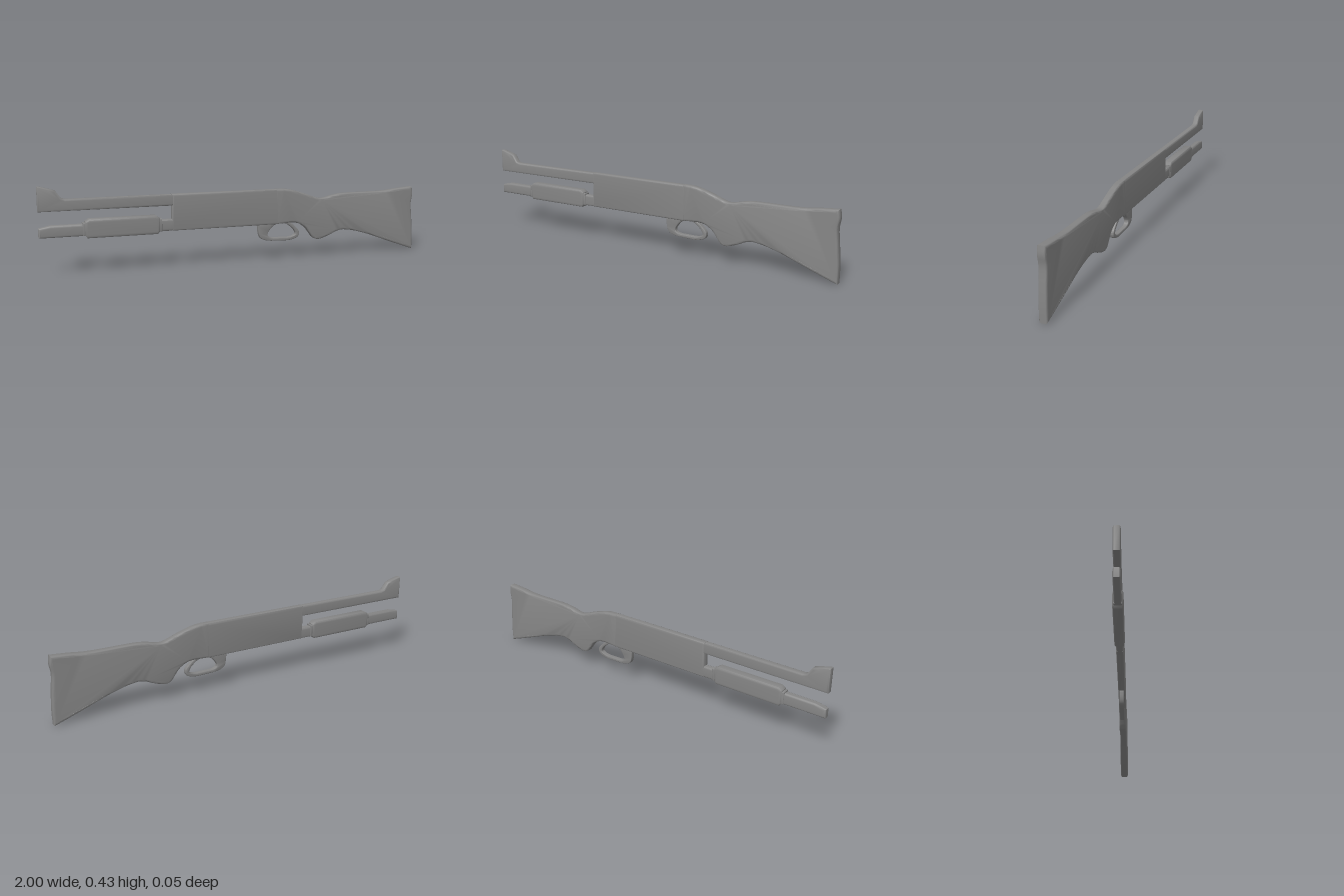
import * as THREE from 'three';
import { toCreasedNormals } from 'three/addons/utils/BufferGeometryUtils.js';

const material = new THREE.MeshStandardMaterial({ color: 0x858585 });
const vectors = (points) => points.map(([x, y]) => new THREE.Vector2(x, y));

// Side outline extruded symmetrically about z = 0, its edges rounded inward;
// widthAt(x) optionally varies the thickness along the length
function slab(name, shape, halfWidth, bevel, depthBevel, widthAt = () => 1) {
  const geometry = new THREE.ExtrudeGeometry(shape, {
    depth: 2 * (halfWidth - depthBevel),
    bevelEnabled: true,
    bevelSize: bevel,
    bevelOffset: -bevel,
    bevelThickness: depthBevel,
    bevelSegments: 3,
    curveSegments: 3,
  });
  geometry.translate(0, 0, depthBevel - halfWidth);
  const position = geometry.attributes.position;
  for (let i = 0; i < position.count; i++) {
    position.setZ(i, position.getZ(i) * widthAt(position.getX(i)));
  }
  const mesh = new THREE.Mesh(toCreasedNormals(geometry, 0.8), material);
  mesh.name = name;
  return mesh;
}

const polygon = (points) => new THREE.Shape(vectors(points));

// Closed smooth outline through a few points
function loop(points, PathType) {
  const curve = new THREE.CatmullRomCurve3(
    points.map(([x, y]) => new THREE.Vector3(x, y, 0)), true);
  return new PathType(curve.getPoints(48).slice(0, -1).map((p) => new THREE.Vector2(p.x, p.y)));
}

export function createModel() {
  const group = new THREE.Group();
  group.name = 'pumpActionGun';

  // Barrel with the raised front sight
  group.add(slab('barrel', polygon([
    [-1, 0.304], [-0.3, 0.304], [-0.3, 0.36], [-0.87, 0.36], [-0.89, 0.366],
    [-0.915, 0.402], [-0.94, 0.41], [-0.99, 0.424], [-1, 0.424],
  ]), 0.017, 0.01, 0.006));

  // Receiver block
  group.add(slab('receiver', polygon([
    [-0.355, 0.178], [0.21, 0.178], [0.21, 0.361], [-0.355, 0.361],
  ]), 0.0185, 0.012, 0.007));

  // Magazine tube under the barrel, tapered at its tip
  group.add(slab('magazineTube', polygon([
    [-1, 0.178], [-0.32, 0.178], [-0.32, 0.236], [-0.945, 0.236], [-1, 0.224],
  ]), 0.017, 0.012, 0.008));

  // Sliding fore-end with softened edges and stepped collars
  group.add(slab('foreEnd', polygon([
    [-0.772, 0.167], [-0.428, 0.167], [-0.418, 0.18], [-0.418, 0.246],
    [-0.436, 0.259], [-0.764, 0.259], [-0.782, 0.246], [-0.782, 0.18],
  ]), 0.024, 0.014, 0.006));
  for (const x of [-0.782, -0.418]) {
    group.add(slab('foreEndCollar', polygon([
      [x - 0.012, 0.178], [x + 0.012, 0.178], [x + 0.012, 0.242], [x - 0.012, 0.242],
    ]), 0.02, 0.006, 0.005));
  }

  // Shoulder stock with a curved grip and a hollowed, slightly thicker butt
  const stock = new THREE.Shape();
  stock.moveTo(0.193, 0.179);
  stock.lineTo(0.28, 0.183);
  stock.splineThru(vectors([
    [0.32, 0.177], [0.36, 0.153], [0.385, 0.122], [0.41, 0.092], [0.445, 0.086],
    [0.5, 0.104], [0.55, 0.125], [0.6, 0.127], [0.7, 0.104], [0.85, 0.05],
    [0.95, 0.014], [1, -0.003],
  ]));
  stock.splineThru(vectors([[1, 0.08], [0.993, 0.17], [0.986, 0.25], [0.993, 0.3], [0.988, 0.342]]));
  stock.splineThru(vectors([
    [0.9, 0.335], [0.8, 0.325], [0.6, 0.324], [0.53, 0.318], [0.46, 0.303],
    [0.42, 0.309], [0.36, 0.331], [0.28, 0.355], [0.23, 0.361],
  ]));
  stock.lineTo(0.193, 0.361);
  stock.closePath();
  group.add(slab('stock', stock, 0.0187, 0.012, 0.006,
    (x) => 1 + 0.13 * THREE.MathUtils.smoothstep(x, 0.7, 0.9)));

  // Trigger guard: a slim ring hanging below the receiver
  const guard = loop([
    [0.1, 0.188], [0.098, 0.165], [0.11, 0.112], [0.145, 0.095], [0.21, 0.09],
    [0.285, 0.091], [0.322, 0.107], [0.327, 0.133], [0.302, 0.163], [0.265, 0.19], [0.18, 0.195],
  ], THREE.Shape);
  guard.holes.push(loop([
    [0.2, 0.178], [0.172, 0.16], [0.151, 0.125], [0.165, 0.111], [0.22, 0.107],
    [0.285, 0.109], [0.306, 0.122], [0.298, 0.143], [0.275, 0.164], [0.25, 0.179],
  ], THREE.Path));
  group.add(slab('triggerGuard', guard, 0.012, 0.004, 0.005));

  return group;
}
